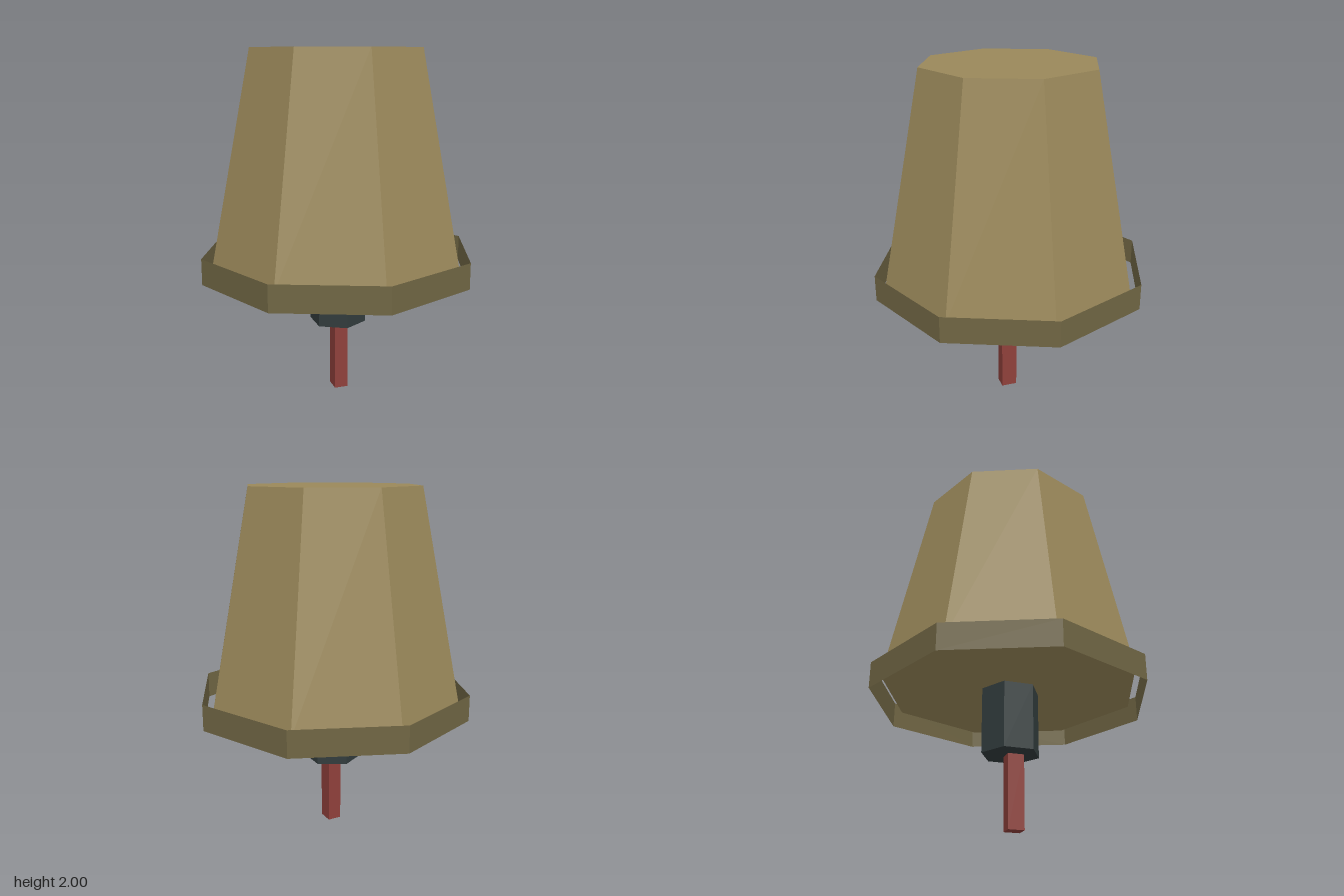
import * as THREE from 'three';

function material(name, color, side = THREE.FrontSide) {
  const m = new THREE.MeshStandardMaterial({ color, flatShading: true, side });
  m.name = name;
  return m;
}

export function createModel() {
  const group = new THREE.Group();
  const tan = material('tan', 0x9a885a);
  const olive = material('olive', 0x706644, THREE.DoubleSide);
  const slate = material('slate', 0x323c3d);
  const red = material('red', 0x8f403b);

  const add = (name, geometry, mat, y, z = 0) => {
    const mesh = new THREE.Mesh(geometry, mat);
    mesh.name = name;
    mesh.position.set(0, y, z);
    group.add(mesh);
  };

  // vertical prism or tapered prism between two heights
  const prism = (name, mat, sides, rTop, rBottom, y0, y1, open = false) =>
    add(name, new THREE.CylinderGeometry(rTop, rBottom, y1 - y0, sides, 1, open), mat, (y0 + y1) / 2);

  // tapered eight-sided cap
  prism('body', tan, 8, 0.5, 0.743, 0.79, 2);
  // open band standing slightly clear of the body
  prism('rimBand', olive, 8, 0.8, 0.8, 0.71, 0.86, true);
  // hexagonal neck and offset square pin
  prism('neck', slate, 6, 0.167, 0.167, 0.413, 0.79);
  add('pin', new THREE.BoxGeometry(0.08, 0.43, 0.092), red, 0.215, 0.02);

  return group;
}
